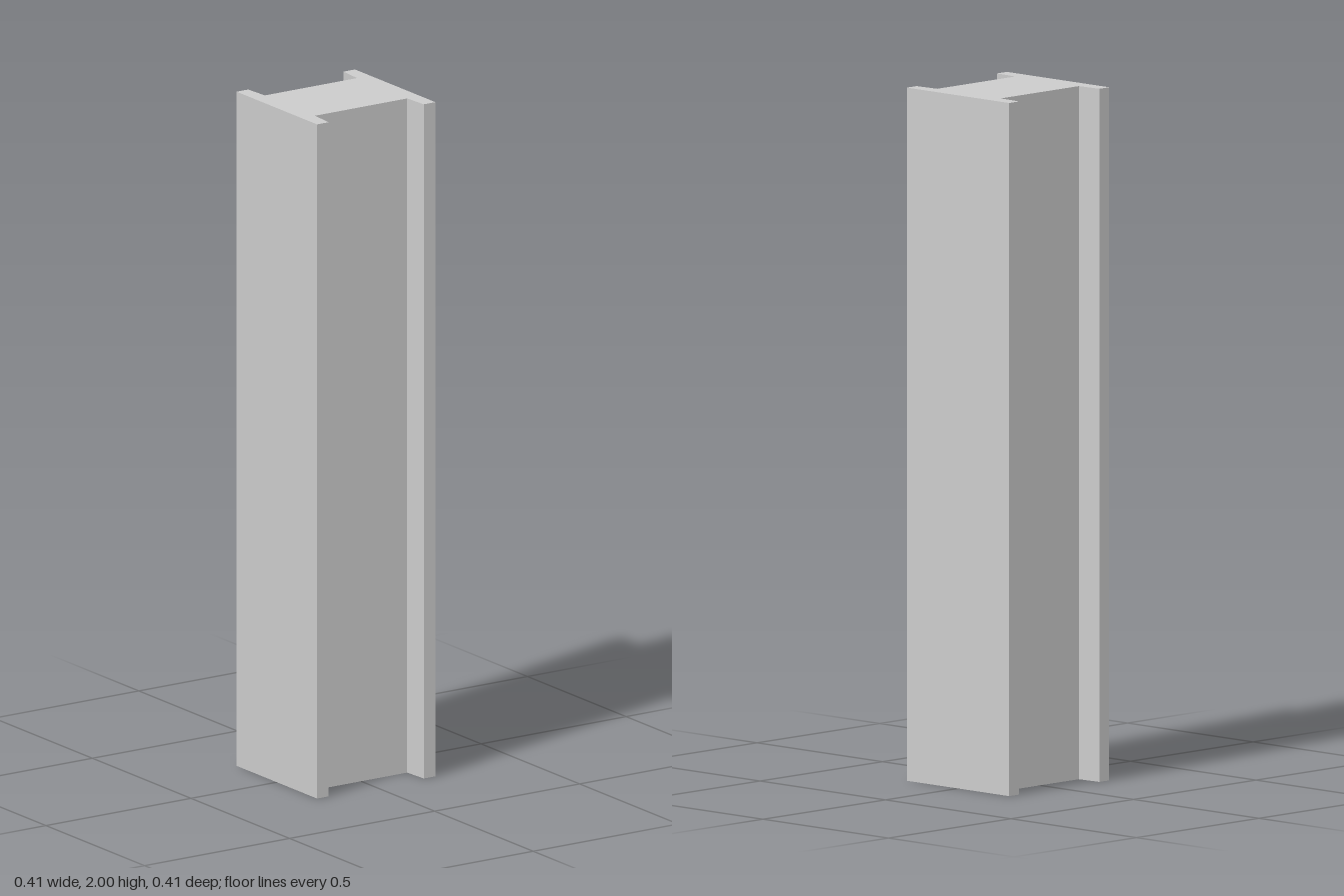
import * as THREE from 'three';

const HEIGHT = 2;
const HALF = 0.204;        // half width and half depth of the flanges
const WEB = 0.127;         // half thickness of the web
const TIP = 0.164;         // inner face of a flange at its tip
const ROOT = 0.159;        // inner face of a flange at the web

export function createModel() {
  const group = new THREE.Group();
  group.name = 'beam';

  // One quarter of the H section, mirrored into the full outline
  const quarter = [[HALF, HALF], [TIP, HALF], [ROOT, WEB]];
  const frontHalf = [...quarter, ...quarter.map(([x, z]) => [-x, z]).reverse()];
  const outline = [...frontHalf, ...frontHalf.map(([x, z]) => [x, -z]).reverse()];
  const section = new THREE.Shape(outline.map(([x, z]) => new THREE.Vector2(x, z)));

  // Extrude the section and stand it upright
  const geometry = new THREE.ExtrudeGeometry(section, { depth: HEIGHT, bevelEnabled: false });
  geometry.rotateX(-Math.PI / 2);

  const beam = new THREE.Mesh(
    geometry,
    new THREE.MeshStandardMaterial({ color: 0xcccccc, flatShading: true })
  );
  beam.name = 'flangedColumn';
  group.add(beam);
  return group;
}
